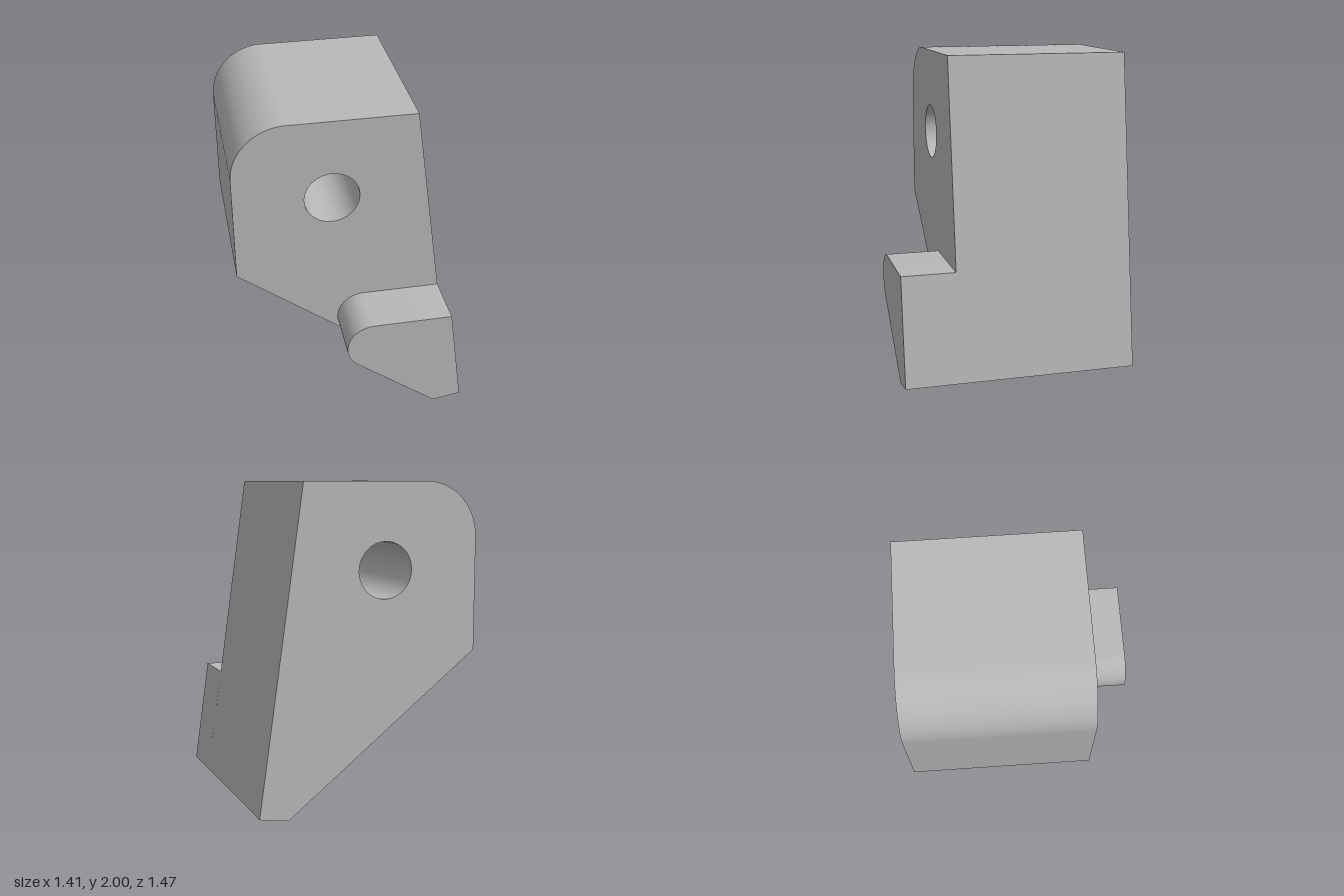
import * as THREE from 'three';
import { toCreasedNormals } from 'three/addons/utils/BufferGeometryUtils.js';

const BACK = -0.735, STEP = 0.395, FRONT = 0.735;

// Extrude a front profile between two depths, smooth on arcs and sharp at corners
function slab(name, shape, z0, z1, material) {
  const geometry = new THREE.ExtrudeGeometry(shape, {
    depth: z1 - z0, bevelEnabled: false, curveSegments: 32,
  });
  geometry.translate(0, 0, z0);
  const mesh = new THREE.Mesh(toCreasedNormals(geometry, 0.3), material);
  mesh.name = name;
  return mesh;
}

export function createModel() {
  const group = new THREE.Group();
  group.name = 'bracketBlock';
  const grey = new THREE.MeshStandardMaterial({ color: 0xb8b8b8 });
  grey.name = 'plain grey';

  // Main block: one rounded upper corner, sloped underside and tapered side
  const body = new THREE.Shape();
  body.moveTo(0.525, 0);
  body.lineTo(0.705, 0.03);
  body.lineTo(0.423, 2);
  body.lineTo(-0.365, 2);
  body.absarc(-0.365, 1.66, 0.341, Math.PI / 2, Math.PI, false);
  body.lineTo(-0.706, 0.96);
  body.closePath();

  // Through hole
  const hole = new THREE.Path();
  hole.absarc(-0.097, 1.474, 0.172, 0, Math.PI * 2, true);
  body.holes.push(hole);
  group.add(slab('body', body, BACK, STEP, grey));

  // Front lip: rounded nose blending into the sloped underside
  const lip = new THREE.Shape();
  lip.moveTo(0.525, 0);
  lip.lineTo(0.705, 0.03);
  lip.lineTo(0.608, 0.71);
  lip.lineTo(0.108, 0.71);
  lip.absarc(0.108, 0.54, 0.17, Math.PI / 2, Math.PI * 1.29, false);
  lip.closePath();
  group.add(slab('frontLip', lip, STEP, FRONT, grey));

  return group;
}
